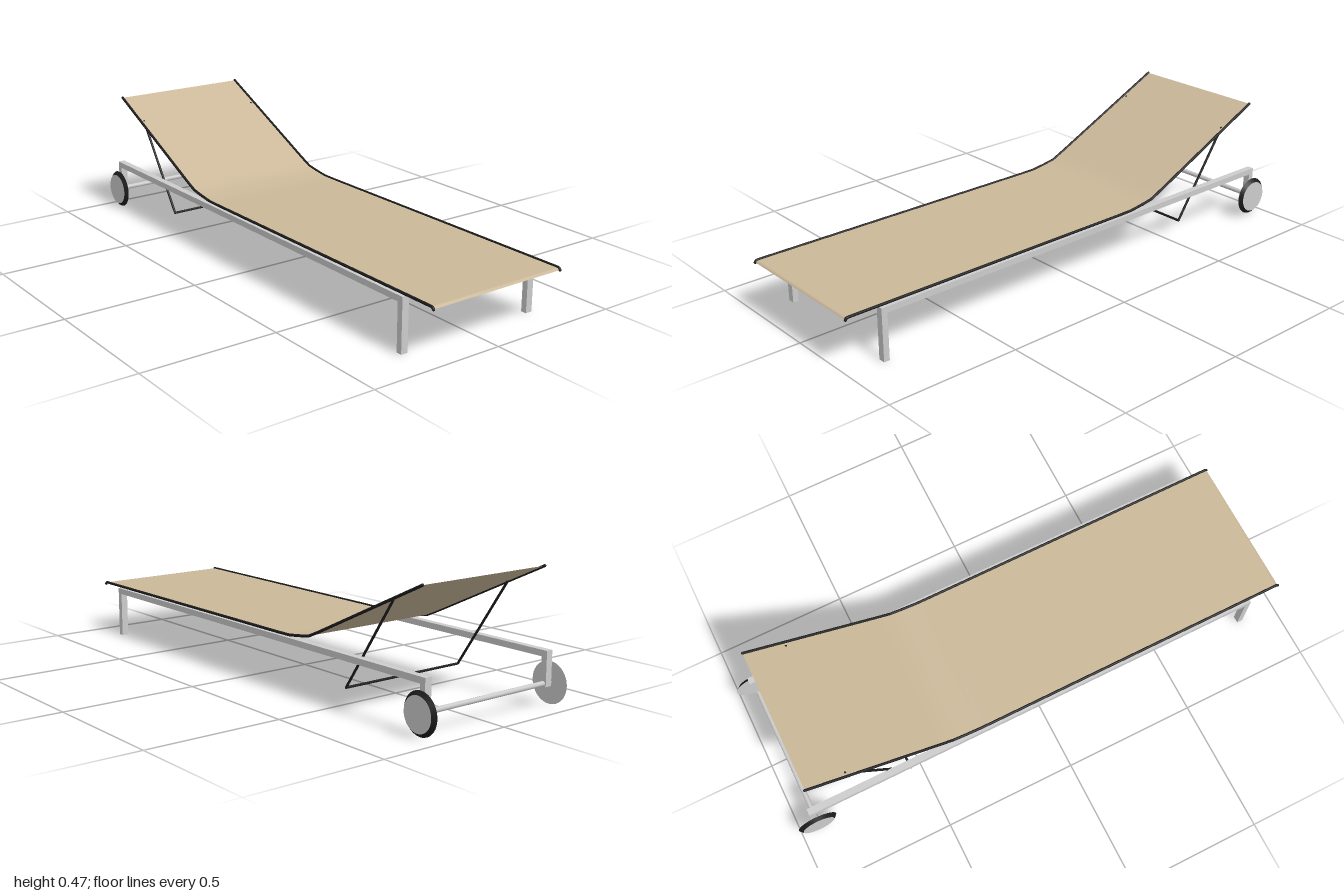
import * as THREE from 'three';

const grey = new THREE.MeshStandardMaterial({ color: 0xcccccc });
const black = new THREE.MeshStandardMaterial({ color: 0x1c1c1c });
const fabric = new THREE.MeshStandardMaterial({ color: 0xcbb899, side: THREE.DoubleSide });

// Side profile of the lying surface, head end to foot end
const profile = [
  [-0.906, 0.468], [-0.42, 0.239], [-0.366, 0.215], [-0.32, 0.207],
  [-0.26, 0.199], [-0.2, 0.198], [0.98, 0.198], [0.987, 0.197], [0.991, 0.191],
];

export function createModel() {
  const model = new THREE.Group();

  const add = (name, geometry, material, x = 0, y = 0, z = 0) => {
    const mesh = new THREE.Mesh(geometry, material);
    mesh.name = name;
    mesh.position.set(x, y, z);
    model.add(mesh);
    return mesh;
  };

  // Round bar following straight runs between points, with rounded joints
  const bar = (name, points, radius) => {
    const group = new THREE.Group();
    group.name = name;
    const pts = points.map((p) => new THREE.Vector3(...p));
    pts.forEach((p, i) => {
      const joint = new THREE.Mesh(new THREE.SphereGeometry(radius, 10, 8), black);
      joint.position.copy(p);
      group.add(joint);
      if (i === 0) return;
      const run = new THREE.LineCurve3(pts[i - 1], p);
      group.add(new THREE.Mesh(new THREE.TubeGeometry(run, 1, radius, 10), black));
    });
    model.add(group);
  };

  // Fabric sling: a sheet bent along the profile
  const sheet = new THREE.PlaneGeometry(1, 0.536, profile.length - 1, 1);
  sheet.rotateX(-Math.PI / 2);
  const pos = sheet.attributes.position;
  for (let i = 0; i < pos.count; i++) {
    const [x, y] = profile[i % profile.length];
    pos.setXYZ(i, x, y, pos.getZ(i));
  }
  sheet.computeVertexNormals();
  add('fabricSling', sheet, fabric);

  for (const s of [1, -1]) {
    const side = s > 0 ? 'front' : 'back';
    const z = s * 0.272;

    // Dark edge tube of the sling
    bar(side + 'EdgeTube', profile.map(([x, y]) => [x, y, s * 0.271]), 0.005);

    // Base rail and its legs
    add(side + 'Rail', new THREE.BoxGeometry(1.806, 0.022, 0.026), grey, -0.037, 0.182, z);
    add(side + 'FootLeg', new THREE.BoxGeometry(0.022, 0.172, 0.026), grey, 0.855, 0.086, z);
    add(side + 'WheelLeg', new THREE.BoxGeometry(0.022, 0.101, 0.026), grey, -0.929, 0.1215, z);

    // Wheel: bevelled tyre with flat discs on both faces
    const tyre = new THREE.CylinderGeometry(0.06, 0.073, 0.013, 40);
    const wheel = add(side + 'Wheel', tyre, [black, grey, grey], -0.928, 0.08, s * 0.2975);
    wheel.rotation.x = s * Math.PI / 2;
  }

  // Axle between the wheels
  const axle = add('axle', new THREE.CylinderGeometry(0.009, 0.009, 0.584, 12), grey, -0.928, 0.081, 0);
  axle.rotation.x = Math.PI / 2;

  // U-shaped prop that holds the backrest up
  bar('backrestProp', [
    [-0.762, 0.398, 0.256], [-0.541, 0.072, 0.256],
    [-0.541, 0.072, -0.256], [-0.762, 0.398, -0.256],
  ], 0.0045);

  return model;
}
